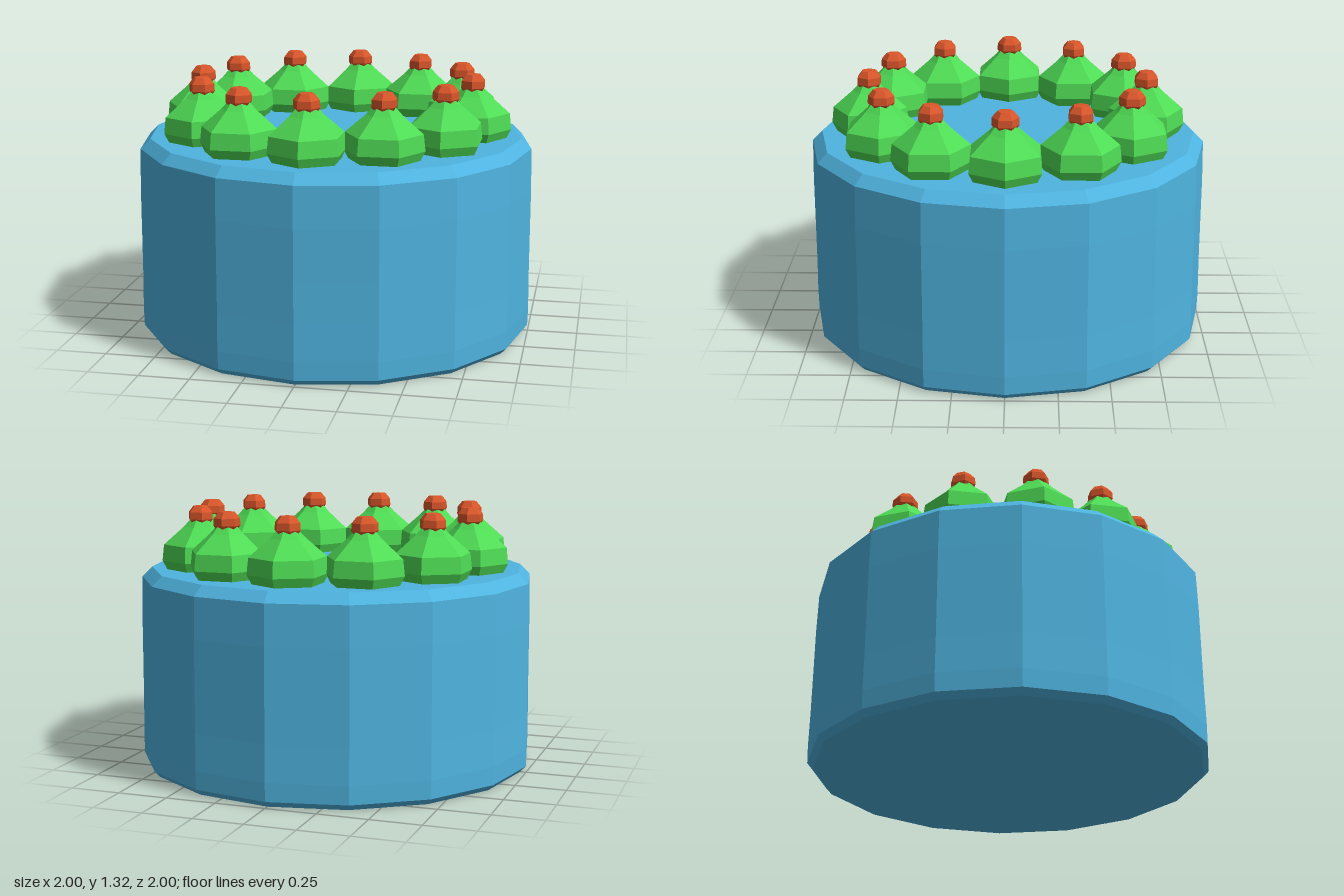
import * as THREE from 'three';

const material = (color) => new THREE.MeshStandardMaterial({ color, flatShading: true });

// Faceted solid of revolution from [radius, height] pairs, bottom to top
function turned(name, profile, sides, mat) {
  const points = profile.map(([r, y]) => new THREE.Vector2(r, y));
  const mesh = new THREE.Mesh(new THREE.LatheGeometry(points, sides), mat);
  mesh.name = name;
  return mesh;
}

export function createModel() {
  const model = new THREE.Group();
  model.name = 'cake';
  const blue = material(0x4fb4e0);
  const green = material(0x4fdc55);
  const orange = material(0xd9562a);

  // Sixteen-sided body with bevelled rims and a very slight taper
  model.add(turned('cakeBody', [
    [0, 0], [0.97, 0], [0.998, 0.03], [1, 0.12], [0.997, 0.3], [0.996, 0.5],
    [0.995, 0.75], [0.99, 0.95], [0.94, 1], [0, 1],
  ], 16, blue));

  // Ring of twelve cream dollops, each topped by a small berry
  const count = 12;
  for (let i = 0; i < count; i++) {
    const angle = (i / count) * Math.PI * 2;
    const topping = new THREE.Group();
    topping.name = 'topping' + (i + 1);
    topping.position.set(0.693 * Math.sin(angle), 0, 0.693 * Math.cos(angle));
    topping.rotation.y = angle;

    topping.add(turned('dollop', [
      [0, 0.995], [0.168, 0.995], [0.194, 1.045], [0.185, 1.125],
      [0.085, 1.212], [0.055, 1.245], [0, 1.245],
    ], 6, green));

    const berry = turned('berry', [
      [0, 1.235], [0.055, 1.235], [0.065, 1.25], [0.063, 1.285], [0.038, 1.315], [0, 1.317],
    ], 6, orange);
    berry.rotation.y = Math.PI / 6;
    topping.add(berry);
    model.add(topping);
  }
  return model;
}
